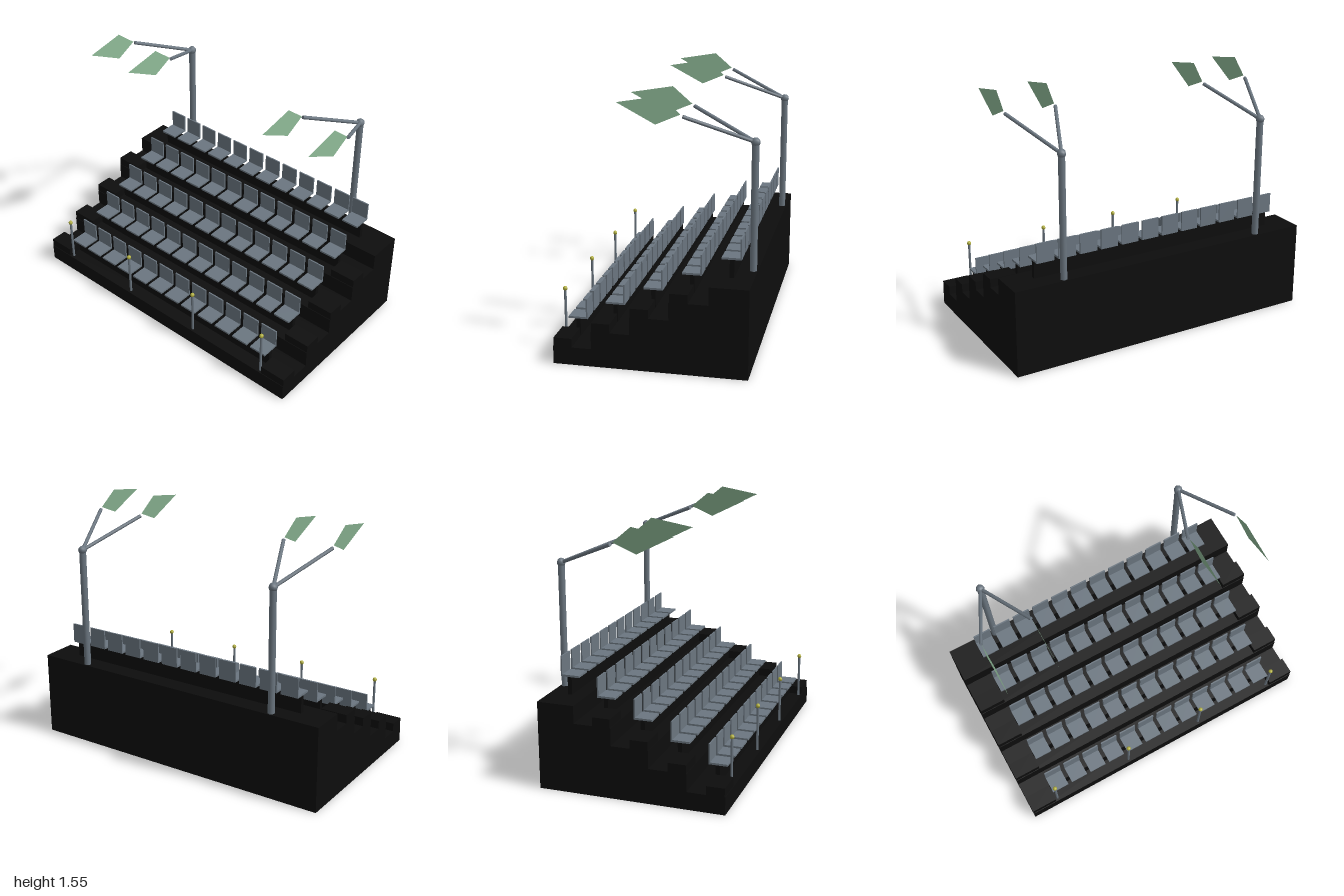
import * as THREE from 'three';

const mat = (name, color, side = THREE.FrontSide) => {
  const m = new THREE.MeshStandardMaterial({ color, side });
  m.name = name;
  return m;
};

export function createModel() {
  const root = new THREE.Group();
  root.name = 'grandstand';
  const black = mat('black concrete', 0x0d0d0d);
  const steel = mat('blue grey', 0x6b7680);
  const yellow = mat('lamp yellow', 0xb0ae3c);
  const green = mat('pale green', 0x8ab492, THREE.DoubleSide);

  const add = (parent, name, geometry, material, x = 0, y = 0, z = 0) => {
    const m = new THREE.Mesh(geometry, material);
    m.name = name;
    m.position.set(x, y, z);
    parent.add(m);
    return m;
  };
  // straight round bar between two points
  const bar = (parent, name, a, b, r, sides = 8) => {
    const d = b.clone().sub(a);
    const m = add(parent, name, new THREE.CylinderGeometry(r, r, d.length(), sides), steel);
    m.position.copy(a).addScaledVector(d, 0.5);
    m.quaternion.setFromUnitVectors(new THREE.Vector3(0, 1, 0), d.normalize());
  };

  const rows = 5, rise = 0.1067, tread = 0.2262, front = 0.5655;

  // stepped terrace, extruded across the whole width
  const profile = new THREE.Shape();
  profile.moveTo(front, 0);
  for (let i = 0; i < rows; i++) {
    profile.lineTo(front - i * tread, (i + 1) * rise);
    profile.lineTo(front - (i + 1) * tread, (i + 1) * rise);
  }
  profile.lineTo(-front, 0);
  const terraceGeo = new THREE.ExtrudeGeometry(profile, { depth: 2, bevelEnabled: false });
  terraceGeo.rotateY(-Math.PI / 2).translate(1, 0, 0);
  add(root, 'terrace', terraceGeo, black);

  // seat rows, with aisle half steps at both ends
  const beamGeo = new THREE.BoxGeometry(1.65, 0.107, 0.026);
  const panGeo = new THREE.BoxGeometry(0.113, 0.012, 0.114);
  const backGeo = new THREE.BoxGeometry(0.113, 0.112, 0.009);
  const halfStepGeo = new THREE.BoxGeometry(0.168, 0.053, 0.107);
  for (let i = 0; i < rows; i++) {
    const row = new THREE.Group();
    row.name = 'seatRow' + (i + 1);
    row.position.set(0, (i + 1) * rise, front - i * tread);
    root.add(row);
    add(row, 'seatBeam', beamGeo, black, 0, 0.0535, -0.1);
    for (let k = 0; k < 12; k++) {
      const x = (k - 5.5) * 0.14;
      add(row, 'seatPan', panGeo, steel, x, 0.113, -0.098);
      add(row, 'seatBack', backGeo, steel, x, 0.174, -0.1505);
    }
    if (i < rows - 1) {
      for (const s of [-1, 1]) add(row, 'aisleHalfStep', halfStepGeo, black, s * 0.916, 0.0265, -0.057);
    }
  }

  // short lamp posts along the front edge
  const postGeo = new THREE.CylinderGeometry(0.008, 0.008, 0.275, 8);
  const bulbGeo = new THREE.SphereGeometry(0.014, 8, 6);
  for (const x of [-0.813, -0.271, 0.271, 0.813]) {
    add(root, 'lampPost', postGeo, steel, x, rise + 0.1375, 0.545);
    add(root, 'lampBulb', bulbGeo, yellow, x, 0.392, 0.545);
  }

  // thin slanted panel, centred on its arm in x
  const outline = [[0.213, 1.508], [-0.035, 1.55], [-0.15, 1.455], [-0.01, 1.395]];
  const panelGeo = new THREE.BufferGeometry();
  panelGeo.setAttribute('position', new THREE.Float32BufferAttribute(
    outline.flatMap(([z, y]) => [(1.47 - y) * 0.12, y, z]), 3));
  panelGeo.setIndex([0, 2, 1, 0, 3, 2]);
  panelGeo.computeVertexNormals();

  // tall masts at the back, each with two forked arms
  for (const x of [-0.68, 0.68]) {
    const mast = new THREE.Group();
    mast.name = 'floodlightMast';
    mast.position.x = x;
    root.add(mast);
    const top = new THREE.Vector3(0, 1.285, -0.54);
    bar(mast, 'mastPole', new THREE.Vector3(0, 0.53, -0.54), top, 0.021);
    add(mast, 'mastJoint', new THREE.SphereGeometry(0.027, 8, 6), steel, 0, 1.285, -0.54);
    for (const s of [-1, 1]) {
      bar(mast, 'mastArm', top, new THREE.Vector3(s * 0.16, 1.443, -0.162), 0.011);
      add(mast, 'lightPanel', panelGeo, green, s * 0.16);
    }
  }
  return root;
}
